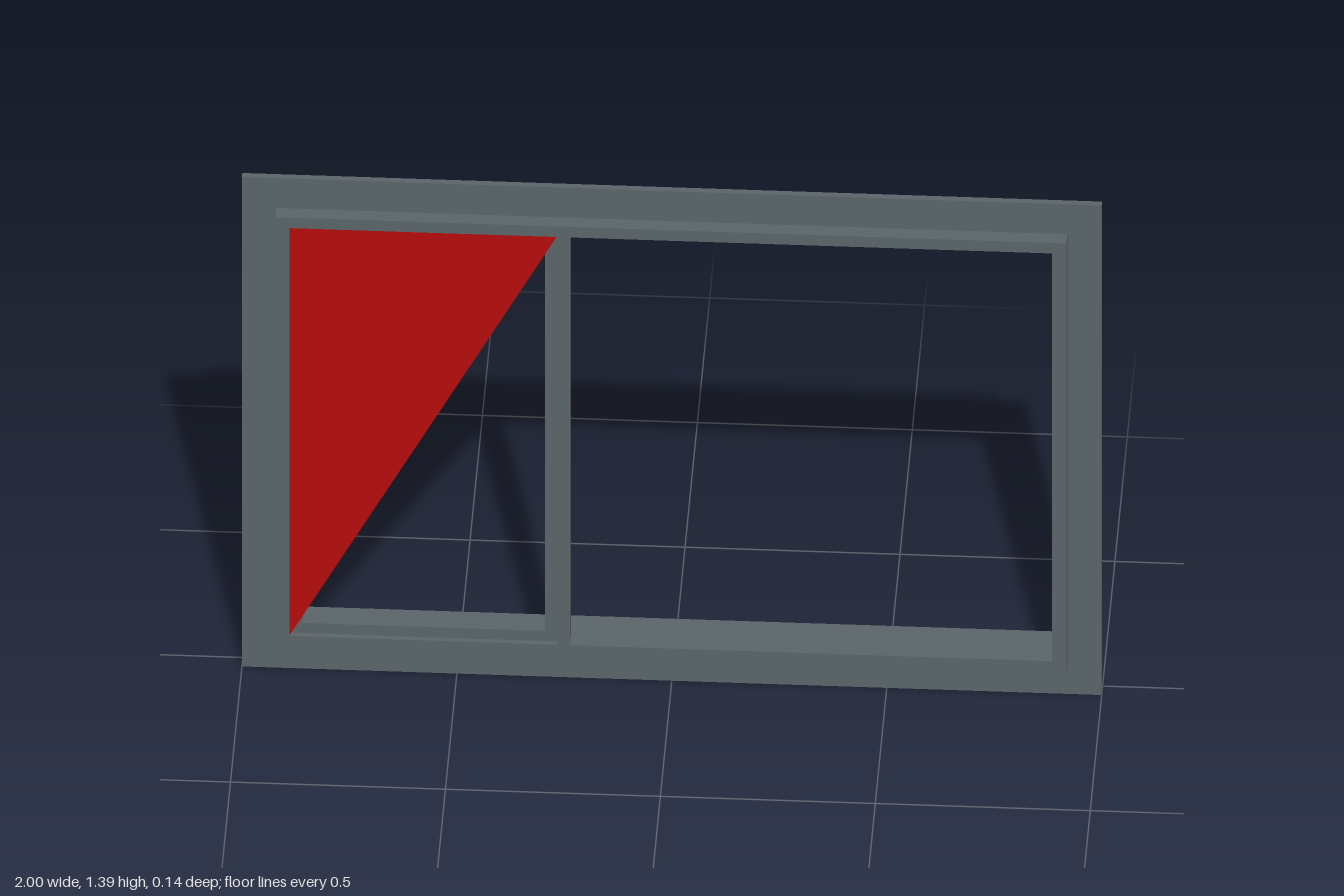
import * as THREE from 'three';

const grey = new THREE.MeshStandardMaterial({ color: 0x5a6468 });
const red = new THREE.MeshStandardMaterial({ color: 0xb40d0d, side: THREE.DoubleSide });

// Rectangle as [left, bottom, right, top]
const inset = ([l, b, r, t], d) => [l + d, b + d, r - d, t - d];

function trace(path, [l, b, r, t]) {
  path.moveTo(l, b);
  path.lineTo(r, b);
  path.lineTo(r, t);
  path.lineTo(l, t);
  path.closePath();
  return path;
}

// Rectangular ring with one or more openings, from depth z0 to z1
function ring(name, outer, holes, z0, z1) {
  const shape = trace(new THREE.Shape(), outer);
  for (const h of holes) shape.holes.push(trace(new THREE.Path(), h));
  const geo = new THREE.ExtrudeGeometry(shape, { depth: z1 - z0, bevelEnabled: false });
  geo.translate(0, 0, z0);
  const mesh = new THREE.Mesh(geo, grey);
  mesh.name = name;
  return mesh;
}

export function createModel() {
  const group = new THREE.Group();
  group.name = 'window';

  const flangeRect = [-1, 0, 1, 1.395];
  const frameRect = [-0.92, 0.085, 0.92, 1.31];
  const leftOpening = [-0.887, 0.118, -0.265, 1.28];
  const rightOpening = [-0.235, 0.118, 0.887, 1.28];

  // Thin mounting flange around the frame
  group.add(ring('mountingFlange', flangeRect, [frameRect], 0.02, 0.036));

  // Deep thin-walled frame, closed at the front by a lip with the mullion
  group.add(ring('frameWall', frameRect, [inset(frameRect, 0.015)], -0.072, 0.036));
  group.add(ring('frontLipAndMullion', frameRect, [leftOpening, rightOpening], 0.036, 0.073));

  // Narrow sash lining the smaller opening
  group.add(ring('sash', leftOpening, [inset(leftOpening, 0.029)], 0.036, 0.06));

  // Triangular panel across the upper corner of the smaller opening
  const [l, b, r, t] = leftOpening;
  const triangle = new THREE.Shape([
    new THREE.Vector2(l, b), new THREE.Vector2(r, t), new THREE.Vector2(l, t),
  ]);
  const panel = new THREE.Mesh(new THREE.ShapeGeometry(triangle), red);
  panel.name = 'triangularPanel';
  panel.position.z = 0.07;
  group.add(panel);

  return group;
}
